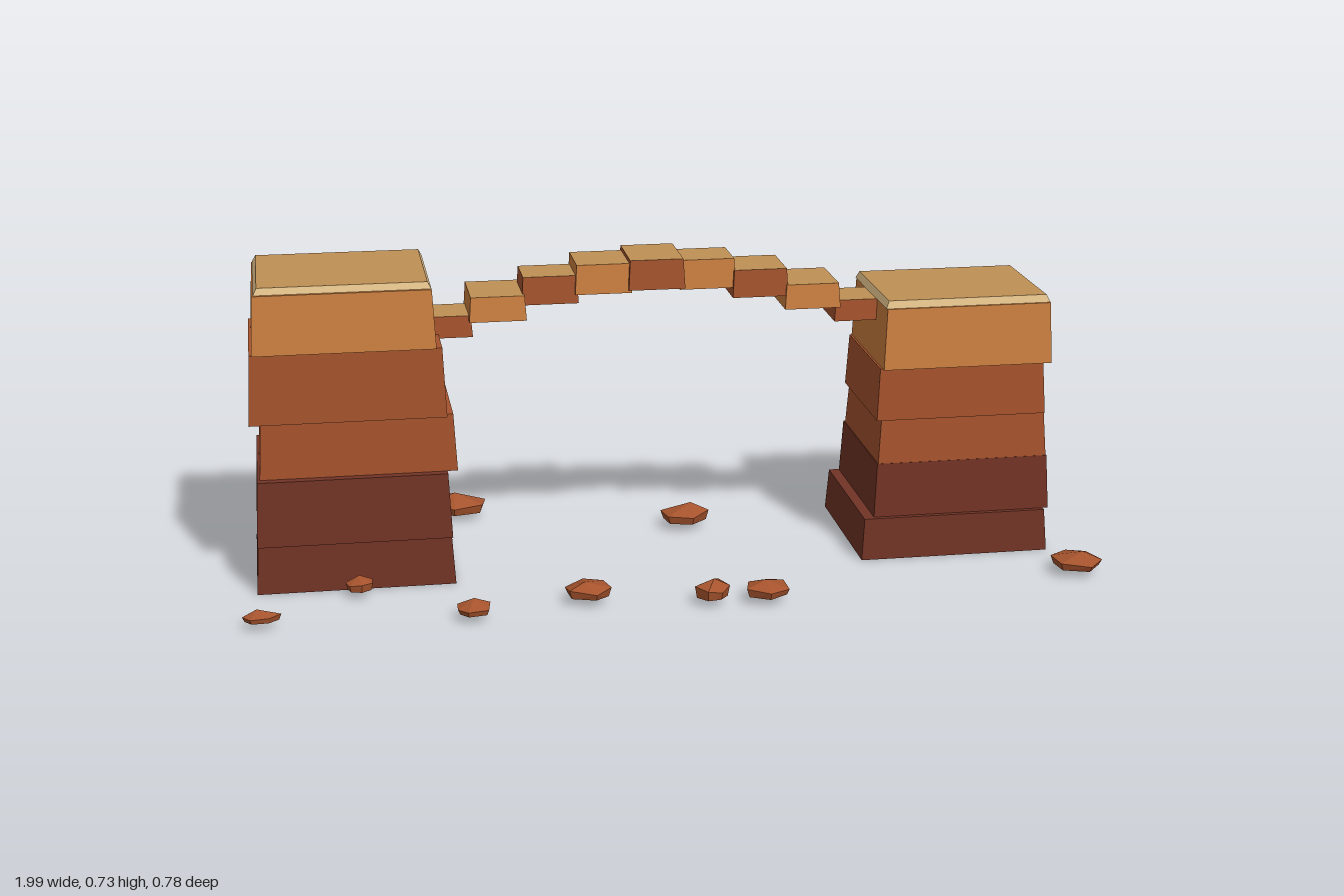
import * as THREE from 'three';
import { ConvexGeometry } from 'three/addons/geometries/ConvexGeometry.js';

function material(name, color) {
  const m = new THREE.MeshStandardMaterial({ color, side: THREE.DoubleSide, flatShading: true });
  m.name = name;
  return m;
}

// Tapered block without an underside: ranges are [min, max] at the foot, inset narrows the top
function block(name, [x0, x1], [y0, y1], [z0, z1], inset, side, top = side) {
  const geo = new THREE.BoxGeometry(1, 1, 1);
  const p = geo.attributes.position;
  for (let i = 0; i < p.count; i++) {
    const up = p.getY(i) > 0;
    const k = up ? inset : 0;
    p.setXYZ(i,
      p.getX(i) > 0 ? x1 - k : x0 + k,
      up ? y1 : y0,
      p.getZ(i) > 0 ? z1 - k : z0 + k);
  }
  const index = Array.from(geo.index.array);
  index.splice(18, 6); // leave the bottom open
  geo.setIndex(index);
  geo.clearGroups();
  geo.addGroup(0, 12, 0);
  geo.addGroup(12, 6, 1);
  geo.addGroup(18, 12, 0);
  geo.computeVertexNormals();
  const mesh = new THREE.Mesh(geo, [side, top]);
  mesh.name = name;
  return mesh;
}

function seeded(seed) {
  let s = seed * 7919 + 17;
  return () => (s = (s * 16807) % 2147483647) / 2147483647;
}

// Low faceted stone with a flat foot, a wider waist and an off-centre peak
function rock(x, z, rx, rz, h, seed, mat) {
  const rand = seeded(seed);
  for (let i = 0; i < 5; i++) rand();
  const y = 0.018, n = 6, turn = rand() * 6;
  const points = [new THREE.Vector3((rand() - 0.5) * rx * 0.5, y + h, (rand() - 0.5) * rz * 0.5)];
  for (let i = 0; i < n; i++) {
    const a = turn + (i / n) * Math.PI * 2 + (rand() - 0.5) * 0.4;
    const r = 0.88 + rand() * 0.18;
    const c = Math.cos(a) * r * rx, s = Math.sin(a) * r * rz;
    points.push(new THREE.Vector3(c, y + h * (0.35 + rand() * 0.3), s));
    points.push(new THREE.Vector3(c * 0.88, y, s * 0.88));
  }
  const mesh = new THREE.Mesh(new ConvexGeometry(points), mat);
  mesh.position.set(x, 0, z);
  mesh.name = 'rock';
  return mesh;
}

export function createModel() {
  const model = new THREE.Group();
  model.name = 'rockArch';
  const dark = material('dark red rock', 0x723425);
  const rust = material('rust rock', 0xa5532d);
  const orange = material('orange rock', 0xcd8040);
  const tan = material('tan top', 0xbf9055);
  const cream = material('cream rim', 0xdcbc87);

  // Towers: strata from the ground up as x, y and z ranges
  const strata = [dark, dark, rust, rust, orange, cream];
  const towers = {
    rightTower: [
      [[-0.965, -0.51], [0, 0.115], [-0.272, 0.122]],
      [[-0.96, -0.515], [0.115, 0.268], [-0.252, 0.128]],
      [[-0.947, -0.498], [0.268, 0.402], [-0.249, 0.1]],
      [[-0.965, -0.52], [0.402, 0.564], [-0.225, 0.117]],
      [[-0.952, -0.54], [0.564, 0.7], [-0.226, 0.119]],
      [[-0.942, -0.547], [0.7, 0.715], [-0.229, 0.104]],
    ],
    leftTower: [
      [[0.452, 0.906], [0, 0.1], [-0.264, 0.126]],
      [[0.484, 0.912], [0.1, 0.23], [-0.255, 0.107]],
      [[0.493, 0.903], [0.23, 0.335], [-0.238, 0.099]],
      [[0.488, 0.897], [0.335, 0.46], [-0.228, 0.096]],
      [[0.5, 0.906], [0.46, 0.605], [-0.22, 0.103]],
      [[0.505, 0.9], [0.605, 0.622], [-0.216, 0.091]],
    ],
  };
  for (const [name, layers] of Object.entries(towers)) {
    const tower = new THREE.Group();
    tower.name = name;
    layers.forEach(([x, y, z], i) => {
      const cap = i === 5;
      tower.add(block(cap ? 'cap' : 'stratum', x, y, z, cap ? 0.008 : 0.007,
        strata[i], cap ? tan : strata[i]));
    });
    model.add(tower);
  }

  // Arched bridge of nine alternating blocks
  const bridge = new THREE.Group();
  bridge.name = 'bridge';
  const tops = [0.725, 0.716, 0.69, 0.652, 0.605];
  const heights = [0.07, 0.069, 0.065, 0.058, 0.05];
  const widths = [0.122, 0.162, 0.122, 0.142, 0.165, 0.122, 0.145, 0.162, 0.122];
  widths.forEach((w, i) => {
    const k = Math.abs(i - 4), x = -0.022 + (i - 4) * 0.123, z = -0.063;
    bridge.add(block('bridgeBlock', [x - 0.066, x + 0.066], [tops[k] - heights[k], tops[k]],
      [z - w / 2, z + w / 2], 0.004, i % 2 ? orange : rust, tan));
  });
  model.add(bridge);

  // Scattered stones: x, z, half width, half depth, height
  const rocks = new THREE.Group();
  rocks.name = 'rocks';
  [
    [-0.47, -0.335, 0.075, 0.055, 0.046],
    [0.08, -0.18, 0.065, 0.05, 0.042],
    [0.56, -0.345, 0.068, 0.055, 0.035],
    [0.74, -0.265, 0.035, 0.028, 0.03],
    [-0.735, 0.17, 0.034, 0.028, 0.033],
    [-0.957, 0.325, 0.042, 0.027, 0.025],
    [-0.49, 0.35, 0.042, 0.037, 0.03],
    [-0.225, 0.285, 0.056, 0.05, 0.035],
    [0.05, 0.34, 0.043, 0.036, 0.045],
    [0.18, 0.34, 0.055, 0.056, 0.036],
    [0.932, 0.28, 0.065, 0.062, 0.035],
  ].forEach(([x, z, rx, rz, h], i) => rocks.add(rock(x, z, rx, rz, h, i + 1, rust)));
  model.add(rocks);
  return model;
}
